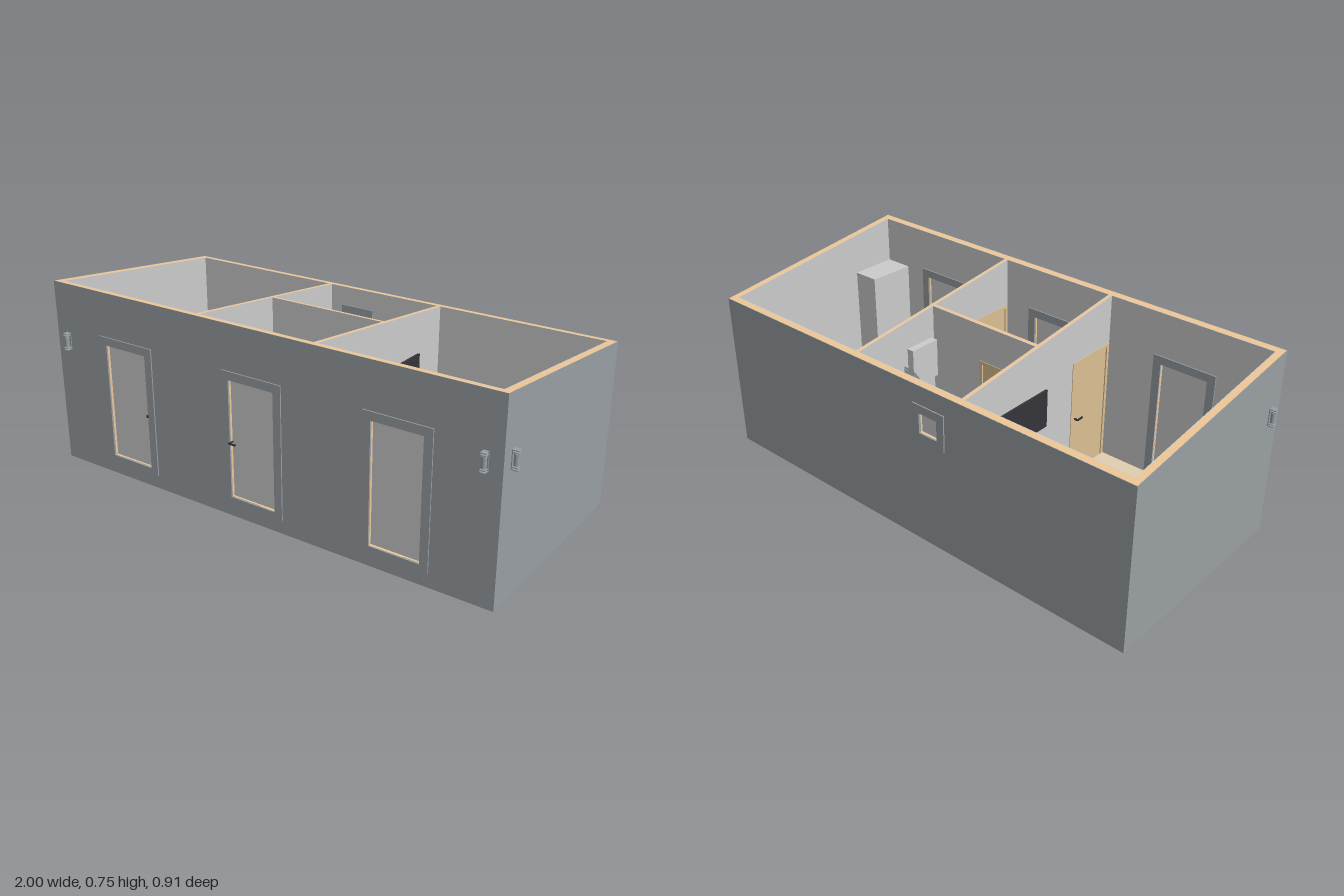
import * as THREE from 'three';
import { RoundedBoxGeometry } from 'three/addons/geometries/RoundedBoxGeometry.js';

const mat = (color) => new THREE.MeshStandardMaterial({ color, side: THREE.DoubleSide });
const M = {
  grey: mat(0xcccccc), clad: mat(0x999fa3), wood: mat(0xefc796), floor: mat(0xe2cfb2),
  door: mat(0xdcc092), dark: mat(0x35353a), cover: mat(0x626262), brown: mat(0x7d665a),
};
// Roof line falls from front to back
const topAt = (z) => 0.755 + ((z - 0.43) * 0.1) / 0.88;

function add(parent, name, geo, material, x = 0, y = 0, z = 0) {
  const m = new THREE.Mesh(geo, material);
  m.name = name;
  m.position.set(x, y, z);
  parent.add(m);
  return m;
}

// Box given by its limits
function box(parent, name, material, x0, x1, y0, y1, z0, z1) {
  return add(parent, name, new THREE.BoxGeometry(x1 - x0, y1 - y0, z1 - z0), material,
    (x0 + x1) / 2, (y0 + y1) / 2, (z0 + z1) / 2);
}

function rect(C, u0, u1, y0, y1) {
  const s = new C();
  s.moveTo(u0, y0).lineTo(u1, y0).lineTo(u1, y1).lineTo(u0, y1).closePath();
  return s;
}

// Upright wall layer along x or z with rectangular openings and a sloping top
function wall(parent, name, material, axis, u0, u1, t0, t1, holes = [], base = 0) {
  const s = rect(THREE.Shape, u0, u1, base, 1);
  holes.forEach((h) => s.holes.push(rect(THREE.Path, ...h)));
  const g = new THREE.ExtrudeGeometry(s, { depth: t1 - t0, bevelEnabled: false });
  g.translate(0, 0, t0);
  if (axis === 'z') {
    g.rotateY(-Math.PI / 2);
    g.scale(1, 1, 1);
    g.translate(t0 + t1, 0, 0); // rotation sends depth to -x
  }
  const p = g.attributes.position;
  for (let i = 0; i < p.count; i++) if (p.getY(i) > 0.9) p.setY(i, topAt(p.getZ(i)));
  g.computeVertexNormals();
  return add(parent, name, g, material);
}

// Flat ring frame around an opening, in the xy plane
function frame(parent, name, material, [u0, u1, y0, y1], side, foot, z0, z1) {
  const s = rect(THREE.Shape, u0 - side, u1 + side, y0 - foot, y1 + side);
  s.holes.push(rect(THREE.Path, u0, u1, y0, y1));
  return add(parent, name, new THREE.ExtrudeGeometry(s, { depth: z1 - z0, bevelEnabled: false }), material, 0, 0, z0);
}

function lever(parent, x, y, z, dir) {
  const g = new THREE.Group();
  g.name = 'doorHandle';
  for (const s of [-1, 1]) {
    box(g, 'handleStem', M.dark, -0.003, 0.003, -0.003, 0.003, Math.min(0, s * 0.022), Math.max(0, s * 0.022));
    box(g, 'handleGrip', M.dark, Math.min(0, dir * 0.03), Math.max(0, dir * 0.03), -0.003, 0.003, s * 0.022 - 0.003, s * 0.022 + 0.003);
  }
  g.position.set(x, y, z);
  parent.add(g);
  return g;
}

// Inner door in the xy plane, centred on x = 0
function innerDoor(handleSide) {
  const g = new THREE.Group();
  g.name = 'innerDoor';
  box(g, 'doorLeaf', M.door, -0.1, 0.1, 0.05, 0.54, -0.006, 0.006);
  frame(g, 'doorFrame', M.door, [-0.1, 0.1, 0.05, 0.54], 0.013, 0, -0.011, 0.011);
  lever(g, handleSide * 0.085, 0.3, 0, -handleSide);
  return g;
}

// Wall lamp: back plate, two pairs of discs and a cylinder, facing +z
function lamp() {
  const g = new THREE.Group();
  g.name = 'wallLamp';
  box(g, 'lampPlate', M.clad, -0.01, 0.01, -0.035, 0.035, 0, 0.003);
  add(g, 'lampBody', new THREE.CylinderGeometry(0.009, 0.009, 0.04, 20), M.clad, 0, 0, 0.013);
  for (const y of [-0.033, -0.025, 0.025, 0.033]) box(g, 'lampFin', M.clad, -0.01, 0.01, y - 0.0015, y + 0.0015, 0, 0.024);
  add(g, 'lampCore', new THREE.CylinderGeometry(0.003, 0.003, 0.066, 10), M.clad, 0, 0, 0.013);
  return g;
}

// Prism from a plan outline of [x, z] points
function prism(parent, name, material, pts, y0, y1) {
  const s = new THREE.Shape(pts.map(([x, z]) => new THREE.Vector2(x, -z)));
  const g = new THREE.ExtrudeGeometry(s, { depth: y1 - y0, bevelEnabled: false, curveSegments: 24 });
  g.rotateX(-Math.PI / 2);
  return add(parent, name, g, material, 0, y0, 0);
}

// Bedroom furniture for the +x room
function bedroom() {
  const g = new THREE.Group();
  g.name = 'bedroom';
  box(g, 'bedBase', M.dark, 0.465, 0.943, 0.07, 0.1, -0.288, 0.054);
  box(g, 'mattress', M.grey, 0.47, 0.938, 0.1, 0.145, -0.28, 0.046);
  box(g, 'blanket', M.cover, 0.467, 0.84, 0.102, 0.152, -0.284, 0.05);
  box(g, 'headboard', M.dark, 0.936, 0.944, 0.05, 0.25, -0.29, 0.056);
  box(g, 'footboard', M.dark, 0.462, 0.468, 0.05, 0.155, -0.295, 0.06);
  for (const z of [-0.286, 0.052]) box(g, 'bedRail', M.dark, 0.463, 0.943, 0.1, 0.155, z - 0.003, z + 0.003);
  for (const z of [-0.2, -0.042]) add(g, 'pillow', new RoundedBoxGeometry(0.085, 0.035, 0.145, 3, 0.016), M.grey, 0.885, 0.162, z);
  for (const z of [-0.35, 0.115]) {
    box(g, 'nightstand', M.brown, 0.86, 0.944, 0.05, 0.17, z - 0.052, z + 0.052);
    add(g, 'drawerKnob', new THREE.SphereGeometry(0.005, 10, 8), M.dark, 0.857, 0.12, z);
  }
  prism(g, 'wardrobe', M.grey, [[0.833, 0.2], [0.944, 0.2], [0.944, 0.398], [0.825, 0.398]], 0.05, 0.56);
  box(g, 'television', M.dark, 0.268, 0.277, 0.36, 0.515, -0.255, 0.01);
  const d = innerDoor(-1);
  d.rotation.y = -Math.PI / 2;
  d.position.set(0.2575, 0, 0.285);
  g.add(d);
  return g;
}

function bathroom() {
  const g = new THREE.Group();
  g.name = 'bathroom';
  // Toilet
  box(g, 'toiletTank', M.grey, -0.165, -0.075, 0.13, 0.23, -0.419, -0.385);
  const bowl = add(g, 'toiletBowl', new THREE.CylinderGeometry(0.045, 0.028, 0.1, 28), M.grey, -0.12, 0.1, -0.325);
  bowl.scale.z = 1.2;
  box(g, 'toiletSeatBack', M.grey, -0.165, -0.075, 0.13, 0.152, -0.39, -0.325);
  // Quarter-round shower
  const arc = (r) => [[0.248, -0.418], ...Array.from({ length: 21 }, (_, i) => {
    const a = (i / 20) * Math.PI / 2;
    return [0.248 - r * Math.cos(a), -0.418 + r * Math.sin(a)];
  })];
  prism(g, 'showerTray', M.grey, arc(0.218), 0.05, 0.075);
  for (const [r, y0, y1, name] of [[0.215, 0.075, 0.5, 'showerScreen'], [0.217, 0.5, 0.51, 'showerRail']]) {
    const c = new THREE.CylinderGeometry(r, r, y1 - y0, 24, 1, true, -Math.PI / 2, Math.PI / 2);
    add(g, name, c, M.grey, 0.248, (y0 + y1) / 2, -0.418);
  }
  // Basin, cabinet mirror and towel rail
  box(g, 'vanity', M.grey, 0.17, 0.249, 0.05, 0.2, -0.17, -0.06);
  frame(g, 'basinRim', M.grey, [0.165, 0.22, -0.15, -0.08], 0.012, 0.012, 0, 0.02).rotation.x = Math.PI / 2;
  g.children.at(-1).position.set(0, 0.22, 0);
  add(g, 'tap', new THREE.CylinderGeometry(0.004, 0.004, 0.04, 10), M.dark, 0.238, 0.24, -0.115);
  box(g, 'mirrorCabinet', M.grey, 0.22, 0.249, 0.42, 0.575, -0.18, -0.05);
  for (const z of [-0.185, -0.085]) box(g, 'towelRailPost', M.dark, -0.243, -0.237, 0.2, 0.48, z - 0.004, z + 0.004);
  for (let i = 0; i < 9; i++) box(g, 'towelRailBar', M.dark, -0.24, -0.234, 0.21 + i * 0.032, 0.217 + i * 0.032, -0.185, -0.085);
  const d = innerDoor(1);
  d.position.set(-0.1, 0, -0.0275);
  g.add(d);
  return g;
}

export function createModel() {
  const root = new THREE.Group();
  root.name = 'cabin';
  const fronts = [-0.605, 0, 0.6].map((x) => [x - 0.1, x + 0.1, 0.08, 0.545]);
  const backWin = [-0.162, -0.078, 0.468, 0.548];

  // Outer walls in three layers: cladding, timber core, lining
  const layers = [['cladding', M.clad, 0, 0.002], ['timberCore', M.wood, 0.002, 0.027], ['lining', M.grey, 0.027, 0.03]];
  for (const [name, m, a, b] of layers) {
    wall(root, name + 'Front', m, 'x', -0.975 + a, 0.975 - a, 0.43 - b, 0.43 - a, fronts);
    wall(root, name + 'Back', m, 'x', -0.975 + a, 0.975 - a, -0.45 + a, -0.45 + b, [backWin]);
    wall(root, name + 'Left', m, 'z', -0.45 + b, 0.43 - b, 0.975 - b, 0.975 - a);
    wall(root, name + 'Right', m, 'z', -0.45 + b, 0.43 - b, -0.975 + a, -0.975 + b);
  }
  box(root, 'floorSlab', M.clad, -0.945, 0.945, 0.02, 0.045, -0.42, 0.4);
  box(root, 'floorBoards', M.floor, -0.945, 0.945, 0.045, 0.05, -0.42, 0.4);

  // Partitions: plaster faces on a timber core
  for (const [m, a, b] of [[M.grey, 0, 0.002], [M.wood, 0.002, 0.014], [M.grey, 0.014, 0.016]]) {
    for (const x of [-0.266, 0.25]) wall(root, 'partition', m, 'z', -0.42, 0.4, x + a, x + b, [[0.185, 0.385, 0.05, 0.54]], 0.046);
    wall(root, 'crossPartition', m, 'x', -0.25, 0.25, -0.036 + a, -0.036 + b, [[-0.2, 0, 0.05, 0.54]], 0.046);
  }

  // Glazed openings, framed outside and inside
  for (const h of fronts) {
    frame(root, 'frontFrameOuter', M.clad, h, 0.033, 0.025, 0.425, 0.435);
    frame(root, 'frontFrameInner', M.clad, h, 0.033, 0.025, 0.395, 0.405);
    box(root, 'frontGlass', M.grey, h[0], h[1], h[2], h[3], 0.412, 0.418);
  }
  frame(root, 'backFrameOuter', M.clad, backWin, 0.033, 0.033, -0.455, -0.445);
  frame(root, 'backFrameInner', M.clad, backWin, 0.033, 0.033, -0.425, -0.415);
  box(root, 'backGlass', M.grey, ...backWin, -0.438, -0.432);
  lever(root, -0.1, 0.3, 0.418, 1);
  box(root, 'windowCatch', M.dark, -0.51, -0.502, 0.295, 0.305, 0.418, 0.438);

  // Lamps beside the front corners
  for (const s of [-1, 1]) {
    const f = lamp();
    f.position.set(s * 0.915, 0.52, 0.43);
    const e = lamp();
    e.position.set(s * 0.975, 0.52, 0.37);
    e.rotation.y = (s * Math.PI) / 2;
    root.add(f, e);
  }

  // Rooms
  const left = bedroom();
  const right = bedroom();
  right.scale.x = -1;
  root.add(left, right, bathroom());
  prism(root, 'hallWardrobe', M.grey, [[0.025, -0.019], [0.249, -0.019], [0.249, 0.13], [0.1, 0.125], [0.025, 0.12]], 0.05, 0.56);
  return root;
}
